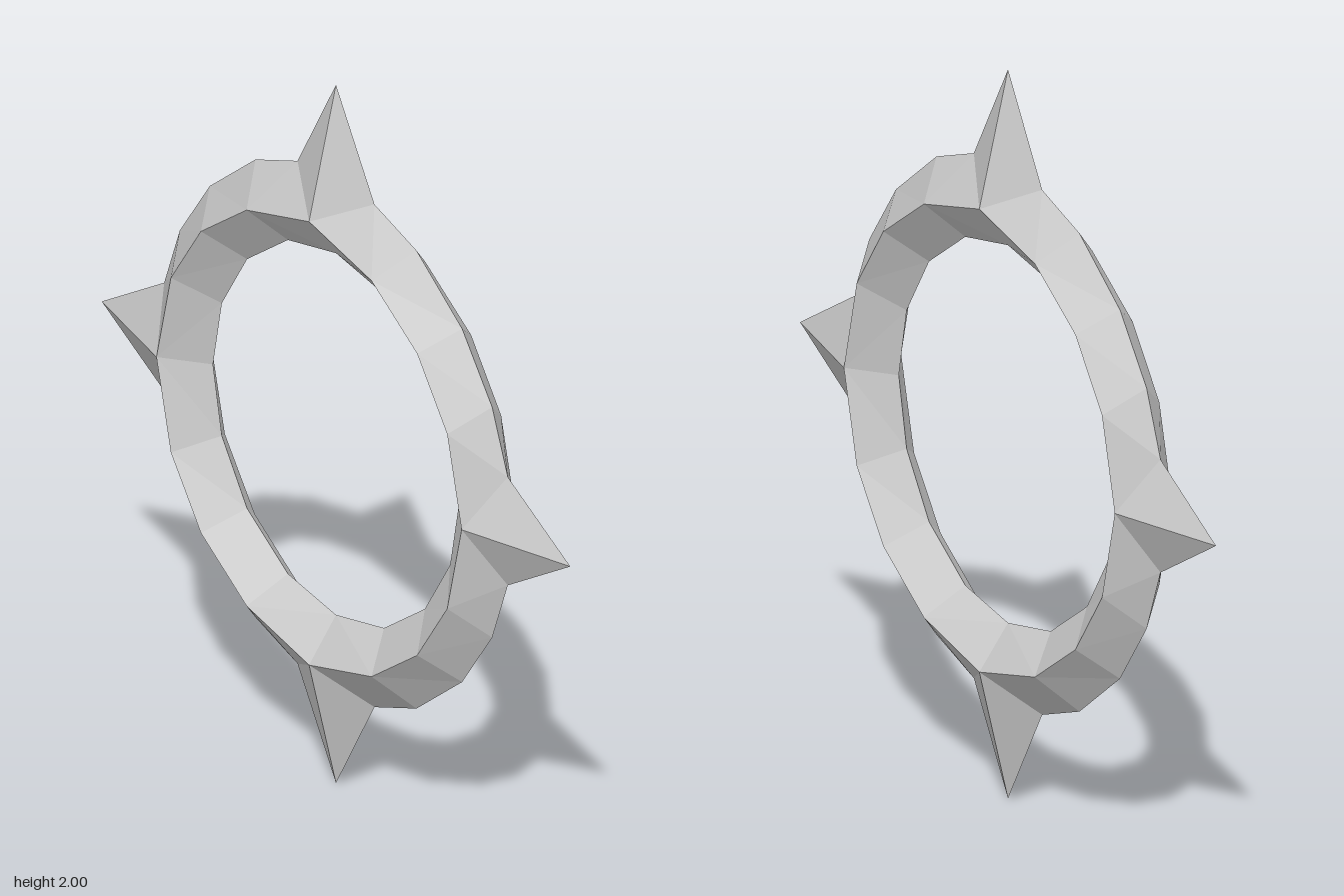
import * as THREE from 'three';

const CENTRE_Y = 1, HALF_DEPTH = 0.088;

// One quadrant, clockwise from the top, relative to the ring's centre
const inner = [[0, 0.518], [0.2, 0.478], [0.37, 0.357], [0.475, 0.19], [0.512, 0]];
const ridge = [[0, 0.635], [0.26, 0.567], [0.45, 0.432], [0.575, 0.25], [0.635, 0]];
const outer = [[0.16, 0.72], [0.335, 0.656], [0.525, 0.506], [0.65, 0.33], [0.715, 0.155]];
const topTip = [0, 1], sideTip = [0.975, 0];

// Inner edge and outer edge lie on z = 0, the ridge stands proud
const flat = ([x, y]) => [x, y, 0];
const proud = ([x, y]) => [x, y, HALF_DEPTH];
const I = inner.map(flat), R = ridge.map(proud), O = outer.map(flat);

// Mirrors triangles by the given signs, reversing the winding when needed
function facets(name, triangles, signs) {
  const positions = [];
  for (const [sx, sy, sz] of signs) {
    for (const [a, b, c] of triangles) {
      const order = sx * sy * sz > 0 ? [a, b, c] : [a, c, b];
      for (const [x, y, z] of order) positions.push(x * sx, y * sy + CENTRE_Y, z * sz);
    }
  }
  const geometry = new THREE.BufferGeometry();
  geometry.setAttribute('position', new THREE.Float32BufferAttribute(positions, 3));
  geometry.computeVertexNormals();
  const mesh = new THREE.Mesh(geometry,
    new THREE.MeshStandardMaterial({ color: 0xcccccc, flatShading: true }));
  mesh.name = name;
  return mesh;
}

const quad = (a, b, c, d) => [[a, b, c], [a, c, d]];

export function createModel() {
  const group = new THREE.Group();
  group.name = 'spikedRing';
  const S = [1, -1];

  // Faceted ring: inward slope, then outward slope
  const band = [];
  for (let i = 0; i < 4; i++) {
    band.push(...quad(I[i], I[i + 1], R[i + 1], R[i]));
  }
  band.push([R[0], R[1], O[0]], [R[1], O[1], O[0]]);
  for (let i = 1; i < 3; i++) band.push(...quad(R[i], R[i + 1], O[i + 1], O[i]));
  band.push([R[3], R[4], O[4]], [R[3], O[4], O[3]]);
  const octants = S.flatMap(x => S.flatMap(y => S.map(z => [x, y, z])));
  group.add(facets('ring', band, octants));

  // Four pointed spikes, each made of four mirrored faces
  const upright = [[R[0], O[0], flat(topTip)]];
  const sideways = [[R[4], flat(sideTip), O[4]]];
  for (const s of S) {
    group.add(facets(s > 0 ? 'topSpike' : 'bottomSpike', upright,
      octants.filter(o => o[1] === s)));
    group.add(facets(s > 0 ? 'leftSpike' : 'rightSpike', sideways,
      octants.filter(o => o[0] === s)));
  }
  return group;
}
